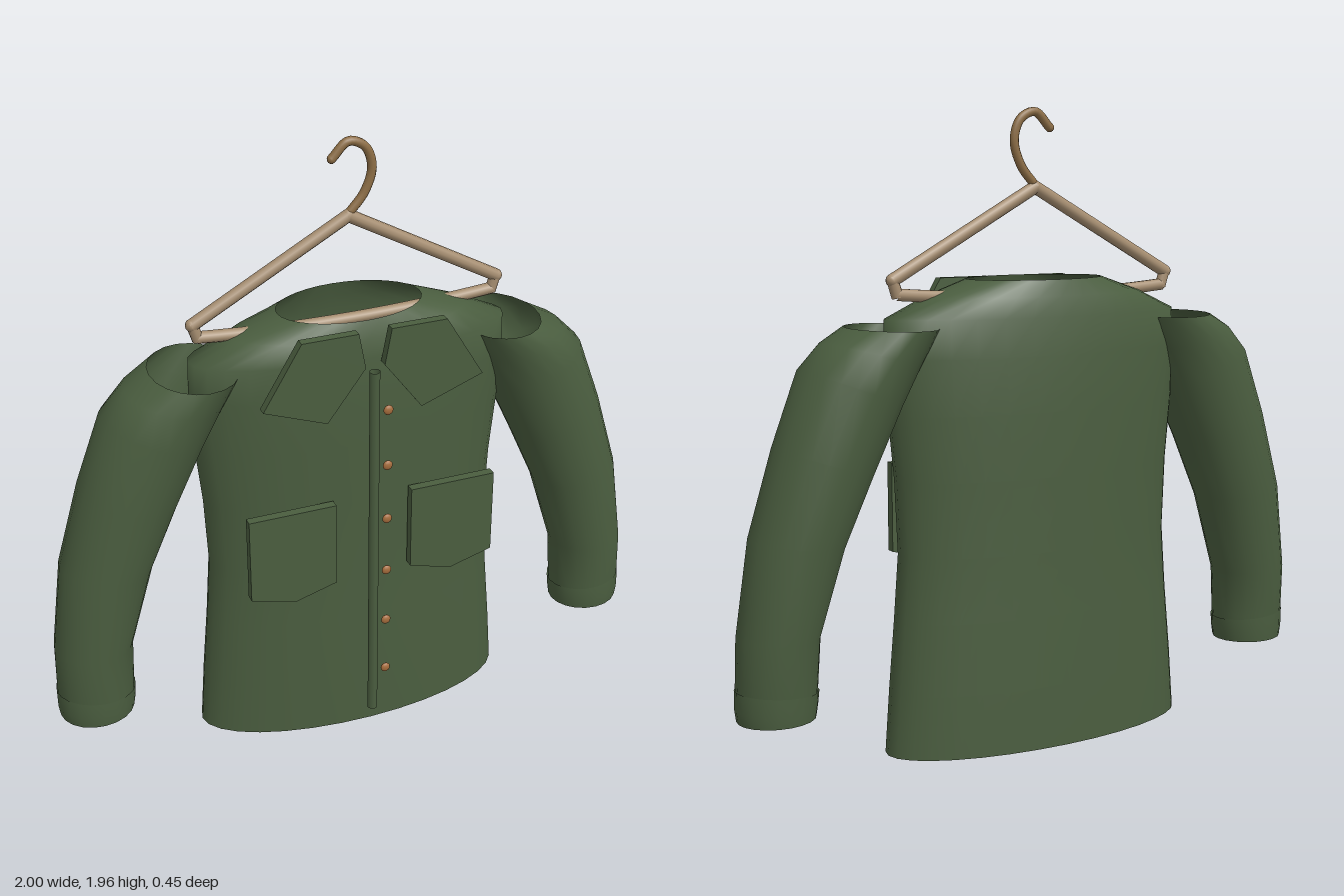
import * as THREE from 'three';

const fabric = new THREE.MeshStandardMaterial({ name: 'green fabric', color: 0x4a5d3f, side: THREE.DoubleSide });
const wood = new THREE.MeshStandardMaterial({ name: 'hanger wood', color: 0xa58d70 });
const brass = new THREE.MeshStandardMaterial({ name: 'hook brass', color: 0x8c6d45 });
const copper = new THREE.MeshStandardMaterial({ name: 'button copper', color: 0xa56c3c });

// Open tube through oval rings, each given by its two side points and its front and back z
function loft(rings, n = 20) {
  const pos = [], index = [];
  rings.forEach(([x0, y0, x1, y1, front, back], r) => {
    for (let i = 0; i < n; i++) {
      const a = (i / n) * Math.PI * 2, c = Math.cos(a), s = Math.sin(a);
      pos.push((x0 + x1) / 2 + (c * (x1 - x0)) / 2, (y0 + y1) / 2 + (c * (y1 - y0)) / 2,
        (front + back) / 2 + (s * (front - back)) / 2);
      if (r === 0) continue;
      const j = (i + 1) % n, p = (r - 1) * n, q = r * n;
      index.push(p + i, q + i, p + j, p + j, q + i, q + j);
    }
  });
  const g = new THREE.BufferGeometry();
  g.setAttribute('position', new THREE.Float32BufferAttribute(pos, 3));
  g.setIndex(index);
  g.computeVertexNormals();
  return g;
}

// Flat fabric panel cut from an outline; side = -1 mirrors it
function panel(points, side, z, depth) {
  const shape = new THREE.Shape(points.map(([x, y]) => new THREE.Vector2(x * side, y)));
  const g = new THREE.ExtrudeGeometry(shape, { depth, bevelEnabled: false });
  return g.translate(0, 0, z);
}

// Straight round rod between two points in the hanger plane
function rod(a, b, radius, z) {
  const line = new THREE.LineCurve3(new THREE.Vector3(a[0], a[1], z), new THREE.Vector3(b[0], b[1], z));
  return new THREE.TubeGeometry(line, 1, radius, 10);
}

export function createModel() {
  const model = new THREE.Group();
  model.name = 'jacketOnHanger';
  const add = (name, geometry, material, parent = model) => {
    const mesh = new THREE.Mesh(geometry, material);
    mesh.name = name;
    parent.add(mesh);
    return mesh;
  };

  // Body, open at hem and neck: y, half width, front z, back z
  const body = [
    [0.005, 0.525, 0.18, -0.22], [0.2, 0.51, 0.178, -0.218], [0.42, 0.49, 0.172, -0.21],
    [0.62, 0.475, 0.167, -0.207], [0.85, 0.485, 0.165, -0.205], [1.05, 0.505, 0.165, -0.205],
    [1.22, 0.515, 0.163, -0.198], [1.335, 0.512, 0.155, -0.185], [1.395, 0.38, 0.145, -0.172],
    [1.445, 0.23, 0.127, -0.157],
  ].map(([y, w, f, b]) => [-w, y, w, y, f, b]);
  add('body', loft(body, 32), fabric);

  // Sleeve rings: inner point, outer point, front z, back z
  const sleeve = [
    [0.36, 1.31, 0.63, 1.315, 0.157, -0.19], [0.42, 1.2, 0.71, 1.275, 0.155, -0.188],
    [0.48, 1.08, 0.785, 1.2, 0.15, -0.182], [0.575, 0.88, 0.87, 0.98, 0.137, -0.168],
    [0.665, 0.68, 0.95, 0.72, 0.127, -0.15], [0.745, 0.42, 0.992, 0.43, 0.118, -0.125],
    [0.752, 0.27, 0.997, 0.28, 0.114, -0.11], [0.76, 0.185, 0.99, 0.185, 0.108, -0.1],
  ];
  const cuff = [
    [0.748, 0.255, 1, 0.275, 0.115, -0.11], [0.752, 0.215, 1, 0.215, 0.116, -0.108],
    [0.758, 0.178, 0.995, 0.178, 0.112, -0.104],
  ];
  const collar = [[0.23, 1.44], [0.352, 1.238], [0.152, 1.163], [0.03, 1.325], [0.052, 1.44]];
  const pocket = [[0.125, 0.872], [0.125, 0.59], [0.265, 0.55], [0.407, 0.59], [0.407, 0.872]];

  for (const [label, side] of [['left', 1], ['right', -1]]) {
    const mirror = (rings) => rings.map(([x0, y0, x1, y1, f, b]) =>
      side > 0 ? [x0, y0, x1, y1, f, b] : [-x1, y1, -x0, y0, f, b]);
    add(label + 'Sleeve', loft(mirror(sleeve)), fabric);
    add(label + 'Cuff', loft(mirror(cuff)), fabric);
    add(label + 'Collar', panel(collar, side, 0.167, 0.03), fabric);
    add(label + 'Pocket', panel(pocket, side, 0.167, 0.03), fabric);
  }

  // Front placket and its row of buttons
  const placket = new THREE.CylinderGeometry(0.017, 0.017, 1.245, 8, 1, true);
  add('placket', placket.translate(-0.004, 0.69, 0.202), fabric);
  for (let i = 0; i < 6; i++) {
    const button = add('button', new THREE.SphereGeometry(0.016, 12, 8), copper);
    button.scale.z = 0.5;
    button.position.set(0.033, 1.185 - i * 0.191, 0.22);
  }

  // Hanger: sloping arms, short end pieces, sagging bar and hook
  const hanger = new THREE.Group();
  hanger.name = 'hanger';
  model.add(hanger);
  const z = -0.02;
  for (const s of [-1, 1]) {
    add('hangerArm', rod([0, 1.72], [s * 0.495, 1.448], 0.02, z), wood, hanger);
    add('hangerEnd', rod([s * 0.492, 1.455], [s * 0.475, 1.4], 0.018, z), wood, hanger);
    const joint = add('hangerJoint', new THREE.SphereGeometry(0.02, 10, 8), wood, hanger);
    joint.position.set(s * 0.492, 1.45, z);
  }
  const apex = add('hangerApex', new THREE.SphereGeometry(0.02, 10, 8), wood, hanger);
  apex.position.set(0, 1.72, z);
  const bar = new THREE.QuadraticBezierCurve3(
    new THREE.Vector3(-0.48, 1.408, z), new THREE.Vector3(0, 1.365, z), new THREE.Vector3(0.48, 1.408, z));
  add('hangerBar', new THREE.TubeGeometry(bar, 16, 0.019, 10), wood, hanger);
  const hook = new THREE.CatmullRomCurve3([[0, 1.725], [0.05, 1.785], [0.074, 1.86], [0.052, 1.925],
    [0, 1.947], [-0.052, 1.9]].map(([x, y]) => new THREE.Vector3(x, y, z)));
  add('hook', new THREE.TubeGeometry(hook, 32, 0.014, 10), brass, hanger);
  const tip = add('hookTip', new THREE.SphereGeometry(0.014, 10, 8), brass, hanger);
  tip.position.set(-0.052, 1.9, z);

  return model;
}
